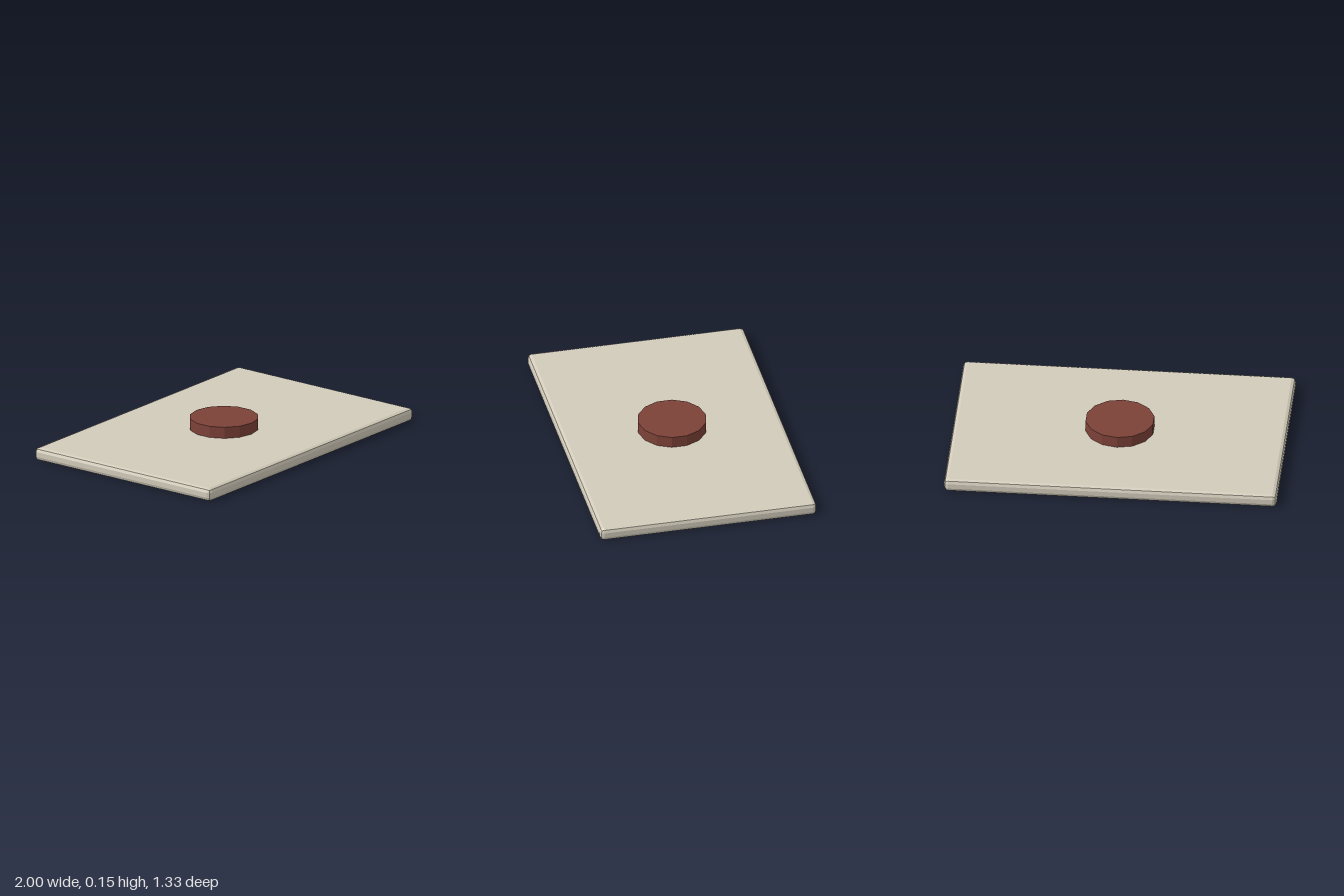
import * as THREE from 'three';
import { RoundedBoxGeometry } from 'three/addons/geometries/RoundedBoxGeometry.js';

const SLAB_HEIGHT = 0.08;
const TOTAL_HEIGHT = 0.15;

function addPart(group, name, geometry, color, y) {
  const material = new THREE.MeshStandardMaterial({ color, flatShading: true });
  const mesh = new THREE.Mesh(geometry, material);
  mesh.name = name;
  mesh.position.y = y;
  group.add(mesh);
}

export function createModel() {
  const group = new THREE.Group();
  group.name = 'slabWithDisc';

  // Flat slab with softly faceted edges
  const slab = new RoundedBoxGeometry(2, SLAB_HEIGHT, 1.33, 1, 0.025);
  addPart(group, 'slab', slab, 0xd2cbba, SLAB_HEIGHT / 2);

  // Low fourteen-sided disc, sunk slightly into the slab
  const discBottom = SLAB_HEIGHT - 0.01;
  const disc = new THREE.CylinderGeometry(0.208, 0.208, TOTAL_HEIGHT - discBottom, 14);
  addPart(group, 'disc', disc, 0x7d4238, (TOTAL_HEIGHT + discBottom) / 2);

  return group;
}
